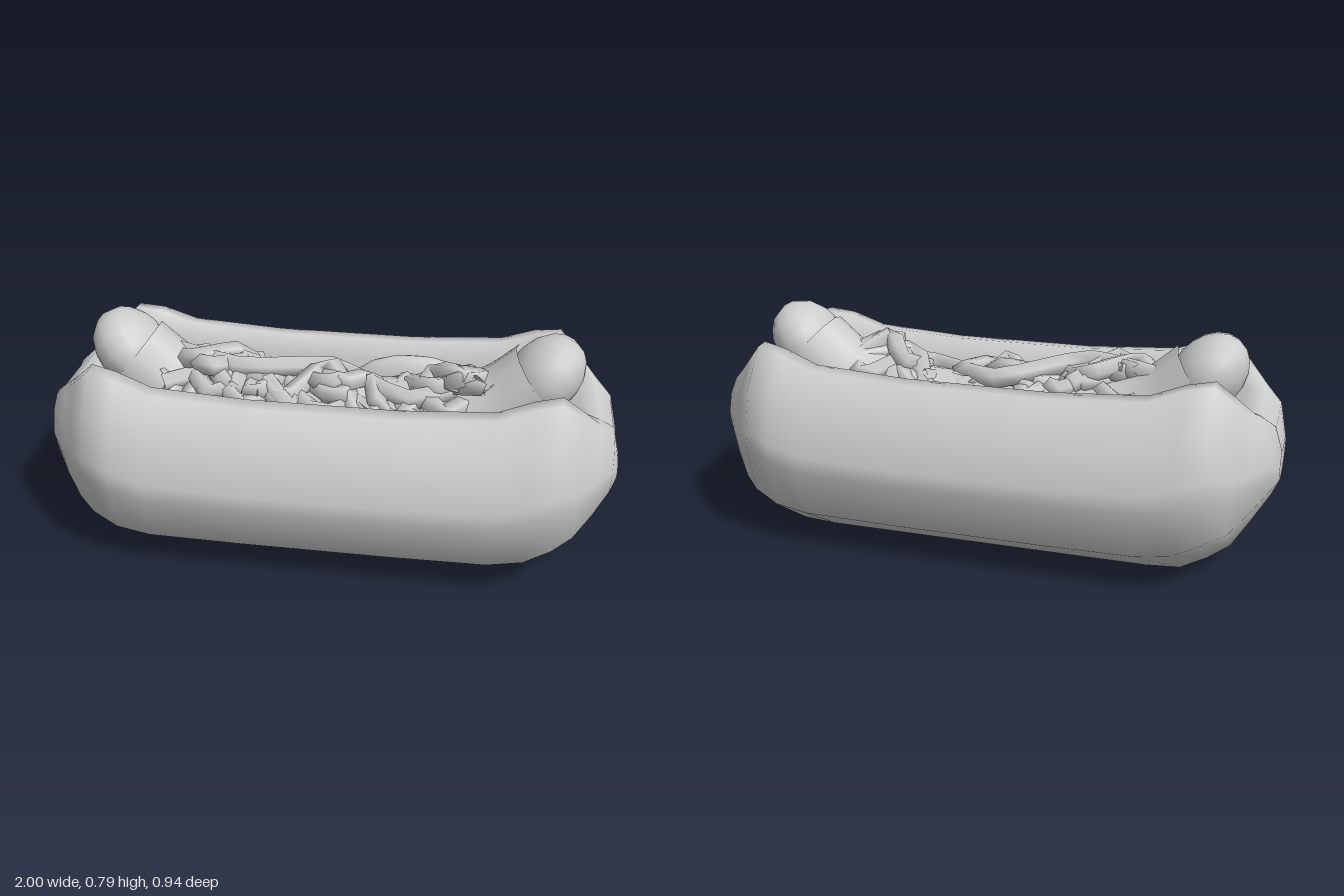
import * as THREE from 'three';

const grey = new THREE.MeshStandardMaterial({ color: 0xcccccc });
grey.name = 'plain grey';

// Height of the sausage's centre line: it curls up steeply at both ends
const centreY = (x) => 0.43 + 0.21 * Math.pow(Math.abs(x) / 0.74, 4);

// Half of a bun cross-section, from bottom centre round the lip to the trough
function bunHalf(w, bottom, lip, trough, inner) {
  const H = lip - bottom;
  const mix = (k) => lip + (trough - lip) * k;
  return [
    [0, bottom], [0.43 * w, bottom + 0.002], [0.9 * w, bottom + 0.215 * H], [w, bottom + 0.48 * H],
    [0.995 * w, bottom + 0.57 * H], [0.91 * w, bottom + 0.8 * H], [0.7 * w, lip - 0.005], [0.58 * w, lip],
    [(inner + 0.04) * w, mix(0.35)], [inner * w, mix(0.95)], [0, trough],
  ];
}

// Full cross-section: the back lip is a little thinner than the front one
function bunRing(x, ...size) {
  const front = bunHalf(...size, 0.41);
  const back = bunHalf(...size, 0.47).slice(1, -1).reverse().map(([z, y]) => [-z, y]);
  return [...front, ...back].map(([z, y]) => [x, y, z]);
}

function bunGeometry() {
  // x, half width, bottom, lip height, trough height
  const right = [
    [0.25, 0.47, 0, 0.615, 0.4], [0.58, 0.47, 0, 0.635, 0.42], [0.7, 0.455, 0.005, 0.68, 0.45],
    [0.79, 0.43, 0.05, 0.695, 0.5], [0.86, 0.355, 0.09, 0.625, 0.55],
    [0.92, 0.29, 0.18, 0.565, 0.56], [0.975, 0.215, 0.265, 0.52, 0.51], [1, 0.14, 0.31, 0.42, 0.41],
  ];
  const left = right.map(([x, ...rest]) => [-x, ...rest]).reverse();
  const rings = [...left, ...right].map((s) => bunRing(...s));
  const n = rings[0].length;
  const last = rings.length - 1;
  const pos = rings.flat(2);
  const index = [];
  for (let i = 0; i < last; i++) {
    for (let j = 0; j < n; j++) {
      const k = (j + 1) % n;
      const a = i * n + j, b = a + n, c = i * n + k, d = c + n;
      index.push(a, b, c, b, d, c);
    }
  }
  // End caps
  const c0 = pos.length / 3;
  pos.push(-1, 0.365, 0, 1, 0.365, 0);
  for (let j = 0; j < n; j++) {
    const k = (j + 1) % n;
    index.push(c0, j, k, c0 + 1, last * n + k, last * n + j);
  }
  const g = new THREE.BufferGeometry();
  g.setAttribute('position', new THREE.Float32BufferAttribute(pos, 3));
  g.setIndex(index);
  g.computeVertexNormals();
  return g;
}

export function createModel() {
  const model = new THREE.Group();
  model.name = 'hotDog';
  const add = (name, geometry, parent = model) => {
    const m = new THREE.Mesh(geometry, grey);
    m.name = name;
    parent.add(m);
    return m;
  };

  add('bun', bunGeometry());

  // Sausage: curved tube with round, slightly tilted ends
  const sausage = new THREE.Group();
  sausage.name = 'sausage';
  model.add(sausage);
  const R = 0.148;
  const path = [];
  for (let i = -6; i <= 6; i++) {
    const x = i * 0.1205;
    path.push(new THREE.Vector3(x, centreY(x), -0.01));
  }
  add('sausageBody', new THREE.TubeGeometry(new THREE.CatmullRomCurve3(path), 32, R, 12), sausage);
  for (const side of [-1, 1]) {
    const end = add('sausageEnd', new THREE.SphereGeometry(R, 14, 10), sausage);
    end.scale.set(1.06, 0.8, 1);
    end.rotation.z = side * 0.9;
    end.position.set(side * 0.735, 0.645, -0.01);
  }

  // Toppings: a tangle of strips heaped over the sausage in three humps
  const toppings = new THREE.Group();
  toppings.name = 'toppings';
  model.add(toppings);
  let seed = 11;
  const rand = () => (seed = (seed * 16807) % 2147483647) / 2147483647;
  const hump = (x, at, width) => Math.exp(-(((x - at) / width) ** 2));
  const heap = (x) => 0.065 * hump(x, -0.38, 0.12) + 0.05 * hump(x, -0.04, 0.06) + 0.065 * hump(x, 0.46, 0.11) - 0.03;
  [4, 5, 6, 7, 8, 9, 10, 12].forEach((count, s) => {
    const pts = [];
    for (let i = 0; i <= count; i++) {
      const x = -0.57 + (1.14 * i) / count + (rand() - 0.5) * 0.14;
      const z = ((i + s) % 2 ? 1 : -1) * (0.04 + 0.13 * rand());
      const isEnd = i === 0 || i === count;
      const y = centreY(x) + Math.sqrt(0.18 ** 2 - z * z) + (isEnd ? -0.07 : heap(x) + 0.02 * (rand() - 0.5));
      pts.push(new THREE.Vector3(x, y, z + 0.02));
    }
    const curve = new THREE.CatmullRomCurve3(pts, false, 'catmullrom', 0.25);
    add('toppingStrip', new THREE.TubeGeometry(curve, count * 4, 0.037, 5), toppings);
  });

  // Slice tucked between the sausage and the back of the bun
  const slice = add('sideSlice', new THREE.SphereGeometry(1, 14, 8));
  slice.scale.set(0.22, 0.1, 0.05);
  slice.position.set(0.27, 0.49, -0.205);

  return model;
}
